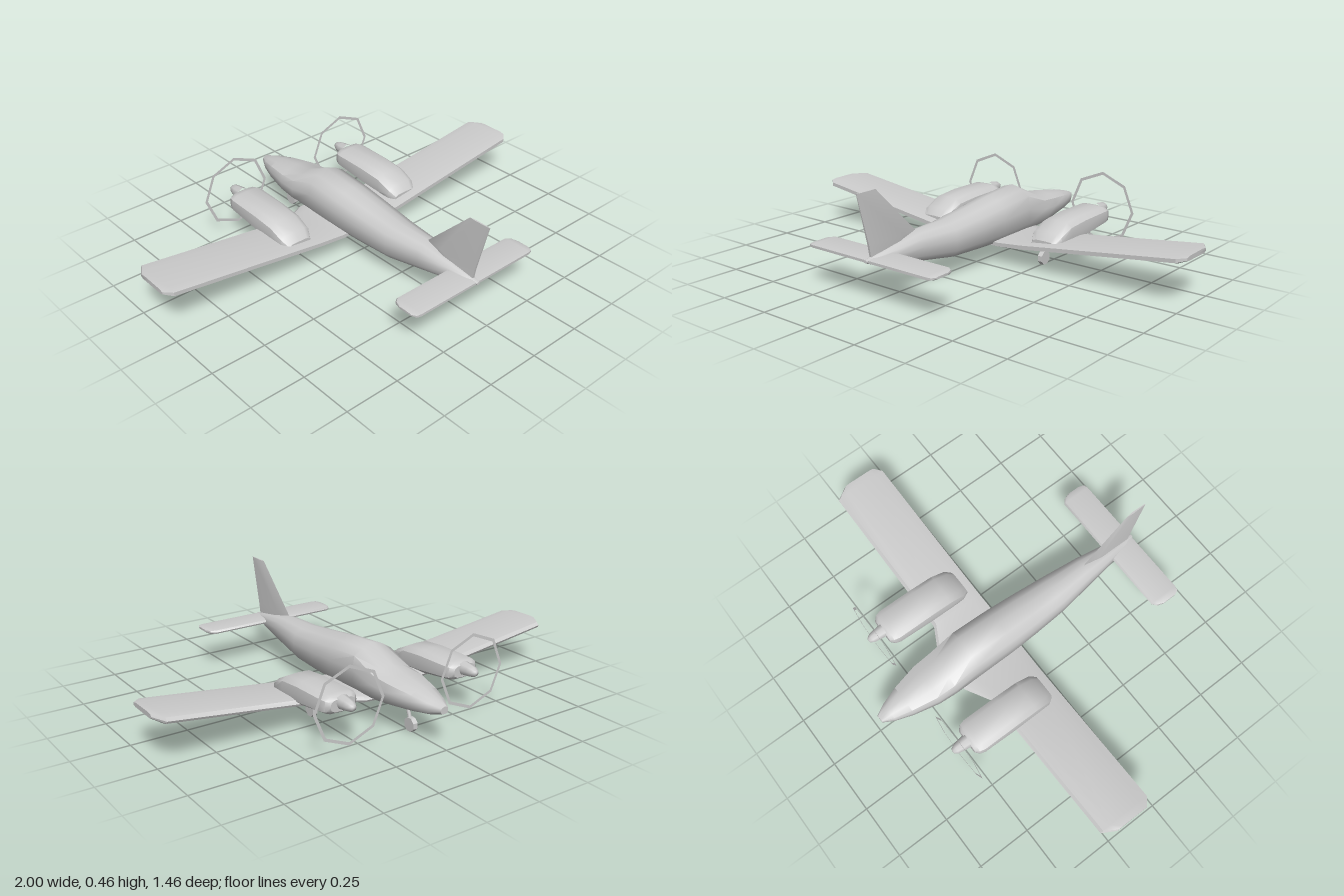
import * as THREE from 'three';
import { toCreasedNormals } from 'three/addons/utils/BufferGeometryUtils.js';

const grey = new THREE.MeshStandardMaterial({ color: 0xcccccc });
const greyThin = new THREE.MeshStandardMaterial({ color: 0xcccccc, side: THREE.DoubleSide });

// Closed skin through rings of [x, y, z] points, with capped ends
function loft(rings, crease) {
  const n = rings[0].length, pos = rings.flat(2);
  const idx = [];
  for (let r = 0; r < rings.length - 1; r++) {
    for (let i = 0; i < n; i++) {
      const a = r * n + i, b = r * n + (i + 1) % n;
      idx.push(a, b, b + n, a, b + n, a + n);
    }
  }
  [0, rings.length - 1].forEach((r) => {
    const c = pos.length / 3;
    for (let k = 0; k < 3; k++) pos.push(rings[r].reduce((s, p) => s + p[k], 0) / n);
    for (let i = 0; i < n; i++) {
      const a = r * n + i, b = r * n + (i + 1) % n;
      if (r === 0) idx.push(c, b, a); else idx.push(c, a, b);
    }
  });
  // Turn the faces outward: the enclosed volume must be positive
  const v = (i) => new THREE.Vector3().fromArray(pos, i * 3);
  let volume = 0;
  for (let i = 0; i < idx.length; i += 3) volume += v(idx[i]).dot(v(idx[i + 1]).cross(v(idx[i + 2])));
  if (volume < 0) idx.reverse();
  const g = new THREE.BufferGeometry();
  g.setAttribute('position', new THREE.Float32BufferAttribute(pos, 3));
  g.setIndex(idx);
  return toCreasedNormals(g, crease);
}

// Half outline (x, y from -1 to 1) mirrored into a full ring
const mirrorHalf = (half) => [...half, ...half.slice(1, -1).reverse().map(([x, y]) => [-x, y])];
const bodySection = mirrorHalf([[0, 1], [0.5, 0.85], [0.9, 0.62], [1, 0.1], [0.98, -0.5], [0.7, -0.86], [0, -1]]);
const cowlSection = mirrorHalf([[0, 1], [0.65, 0.95], [0.95, 0.6], [1, 0], [0.95, -0.6], [0.65, -0.95], [0, -1]]);

// Stations are [z, half width, bottom, top]
const hull = (section, stations, crease) => loft(stations.map(([z, w, lo, hi]) =>
  section.map(([x, y]) => [x * w, (hi + lo) / 2 + y * (hi - lo) / 2, z])), crease);

// Flat aerofoil panel: stations are [x, front z, rear z, middle y, thickness]
const panel = (stations, crease) => loft(stations.map(([x, f, r, y, t]) =>
  [[0, 0], [0.05, 0.38], [0.2, 0.5], [0.85, 0.4], [1, 0.2], [1, -0.3], [0.9, -0.5], [0.1, -0.5], [0.02, -0.3]]
    .map(([u, h]) => [x, y + h * t, f + u * (r - f)])), crease);

const mirrorStations = (s) => [...s.slice(1).reverse().map(([x, ...rest]) => [-x, ...rest]), ...s];

function add(parent, name, geometry, material = grey) {
  const mesh = new THREE.Mesh(geometry, material);
  mesh.name = name;
  parent.add(mesh);
  return mesh;
}

// Wheel with its strut running up to (topY, topZ)
function landingGear(name, x, y, z, topY, topZ) {
  const gear = new THREE.Group();
  gear.name = name;
  const wheel = add(gear, 'wheel', toCreasedNormals(
    new THREE.CylinderGeometry(0.032, 0.032, 0.022, 8).rotateY(Math.PI / 8).rotateZ(Math.PI / 2), 0.5));
  wheel.position.set(x, y, z);
  const path = new THREE.LineCurve3(new THREE.Vector3(x, y, z), new THREE.Vector3(x, topY, topZ));
  add(gear, 'strut', new THREE.TubeGeometry(path, 1, 0.009, 6));
  return gear;
}

export function createModel() {
  const plane = new THREE.Group();
  plane.name = 'twinEngineAeroplane';

  // Fuselage, nose at -z
  add(plane, 'fuselage', hull(bodySection, [
    [-0.73, 0.018, 0.15, 0.182], [-0.68, 0.045, 0.135, 0.198], [-0.6, 0.072, 0.122, 0.218],
    [-0.48, 0.099, 0.108, 0.238], [-0.39, 0.104, 0.096, 0.25], [-0.26, 0.105, 0.083, 0.31],
    [-0.08, 0.103, 0.078, 0.292], [0.06, 0.097, 0.081, 0.272], [0.23, 0.085, 0.086, 0.25],
    [0.4, 0.063, 0.112, 0.246], [0.55, 0.042, 0.137, 0.218], [0.64, 0.022, 0.155, 0.2],
    [0.69, 0.008, 0.175, 0.188],
  ], 0.9));

  // Wing with dihedral, root fillets and clipped tips
  add(plane, 'wing', panel(mirrorStations([
    [0, -0.36, -0.025, 0.097, 0.034], [0.1, -0.35, -0.025, 0.098, 0.034], [0.22, -0.285, -0.028, 0.108, 0.036],
    [0.965, -0.285, -0.035, 0.202, 0.034], [1, -0.225, -0.065, 0.208, 0.022],
  ]), 0.6));

  // Tailplane
  add(plane, 'tailplane', panel(mirrorStations([
    [0, 0.545, 0.685, 0.182, 0.022], [0.315, 0.545, 0.685, 0.182, 0.022],
    [0.335, 0.56, 0.68, 0.182, 0.018], [0.345, 0.59, 0.66, 0.182, 0.01],
  ]), 0.6));

  // Fin: stations are [y, front z, rear z, half thickness]
  add(plane, 'fin', loft([[0.185, 0.48, 0.66, 0.012], [0.246, 0.4, 0.671, 0.012], [0.464, 0.623, 0.727, 0.004]]
    .map(([y, f, r, t]) => [[0, 0], [t, 0.3], [t * 0.4, 1], [-t * 0.4, 1], [-t, 0.3]]
      .map(([x, u]) => [x, y, f + u * (r - f)])), 0.5));

  // Engines: cowling, spinner and propeller disc rim on each side
  for (const [side, s] of [['left', 1], ['right', -1]]) {
    const engine = new THREE.Group();
    engine.name = side + 'Engine';
    engine.position.x = s * 0.315;
    add(engine, 'cowling', hull(cowlSection, [
      [-0.492, 0.058, 0.158, 0.212], [-0.475, 0.076, 0.147, 0.222], [-0.45, 0.083, 0.142, 0.226],
      [-0.28, 0.083, 0.117, 0.226], [-0.17, 0.082, 0.11, 0.215], [-0.1, 0.078, 0.108, 0.178],
      [-0.068, 0.06, 0.108, 0.145],
    ], 0.75));
    const spinner = add(engine, 'spinner', new THREE.LatheGeometry(
      [[0.032, 0], [0.027, 0.04], [0.022, 0.065], [0.012, 0.08], [0, 0.083]]
        .map(([r, h]) => new THREE.Vector2(r, h)), 8).rotateX(-Math.PI / 2));
    spinner.position.set(0, 0.195, -0.485);
    const rim = add(engine, 'propellerRim', new THREE.RingGeometry(0.156, 0.17, 8), greyThin);
    rim.position.set(0, 0.195, -0.535);
    plane.add(engine);
    plane.add(landingGear(side + 'MainGear', s * 0.25, 0.032, -0.168, 0.11, -0.205));
  }
  plane.add(landingGear('noseGear', 0, 0.032, -0.527, 0.125, -0.495));

  return plane;
}
